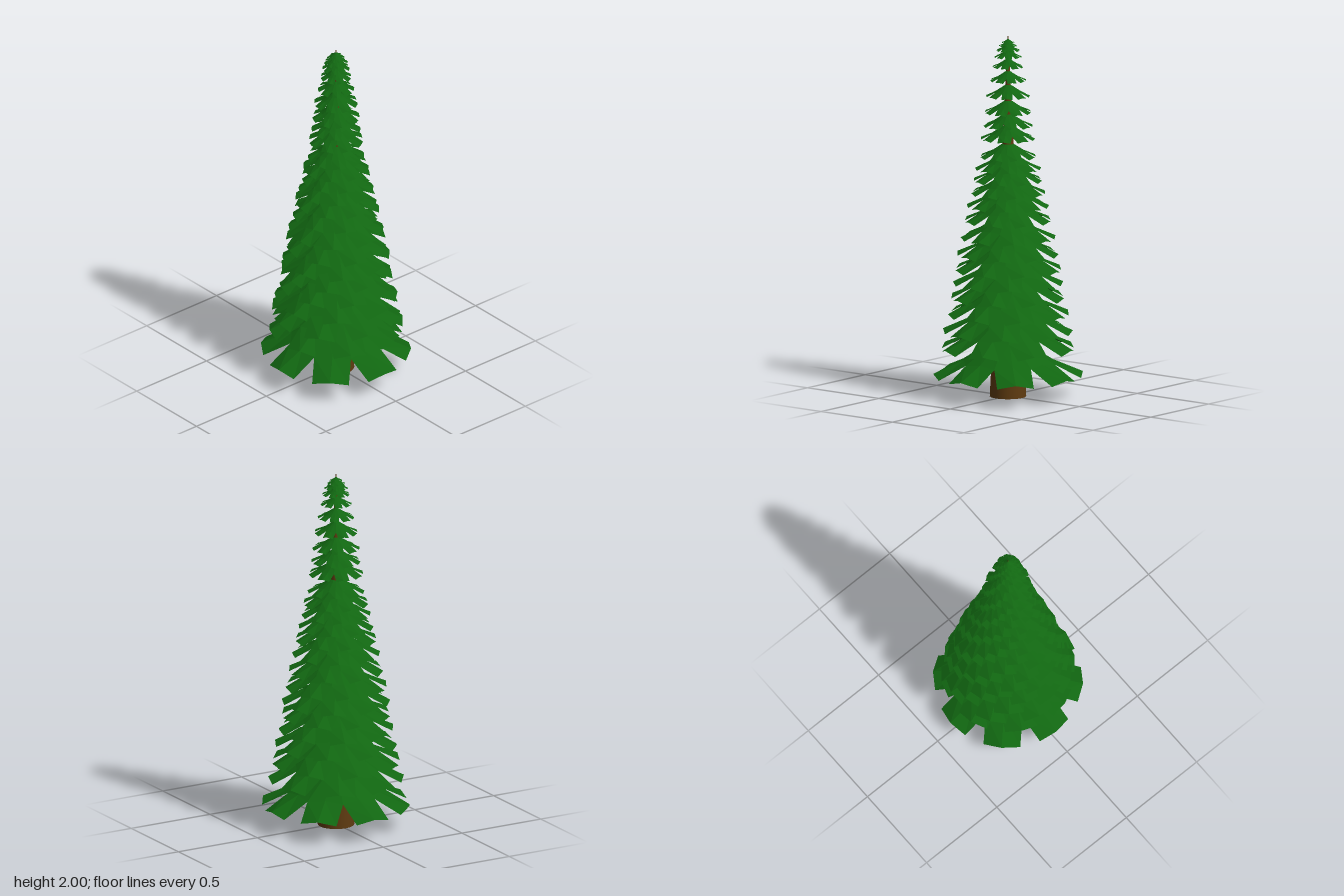
import * as THREE from 'three';

// [tip radius, tip height] of every ring of boughs, bottom to top
const TIERS = [
  [0.41, 0.13], [0.37, 0.275], [0.355, 0.37], [0.335, 0.465], [0.315, 0.555], [0.3, 0.635],
  [0.295, 0.71], [0.28, 0.795], [0.26, 0.885], [0.24, 0.98], [0.225, 1.06], [0.205, 1.13],
  [0.19, 1.2], [0.18, 1.265], [0.155, 1.33], [0.15, 1.43], [0.135, 1.5], [0.13, 1.575],
  [0.12, 1.665], [0.1, 1.75], [0.085, 1.825], [0.075, 1.88], [0.065, 1.915], [0.05, 1.94], [0.035, 1.958],
];
const BOUGHS = 8;

// One ring of unit radius: drooping, ridged boughs that merge into a cone near the trunk
function ringGeometry() {
  // distance out, height of ridge, half width, drop of the side edges, pull-back of the side edges
  const tan = Math.tan(Math.PI / BOUGHS);
  const rows = [
    [0.06, 0.53, 0.06 * tan, 0, 0],
    [0.3, 0.36, 0.3 * tan, 0.01, 0],
    [0.59, 0.175, 0.59 * tan, 0.03, 0],
    [1, 0, 0.245, 0.05, 0.05],
  ];
  const positions = [], index = [];
  for (let k = 0; k < BOUGHS; k++) {
    const a = (k / BOUGHS) * Math.PI * 2, c = Math.cos(a), s = Math.sin(a);
    const base = positions.length / 3;
    rows.forEach(([r, y, w, drop, back], i) => {
      for (let j = -1; j <= 1; j++) {
        const x = r - Math.abs(j) * back, z = j * w;
        positions.push(x * c - z * s, y - Math.abs(j) * drop, x * s + z * c);
      }
      if (i === 0) return;
      for (let j = 0; j < 2; j++) {
        const p = base + (i - 1) * 3 + j, q = p + 3;
        index.push(p, p + 1, q, p + 1, q + 1, q);
      }
    });
  }
  const g = new THREE.BufferGeometry();
  g.setAttribute('position', new THREE.Float32BufferAttribute(positions, 3));
  g.setIndex(index);
  g.computeVertexNormals();
  return g;
}

export function createModel() {
  const tree = new THREE.Group();
  tree.name = 'coniferTree';

  // Tapering trunk running the full height
  const bark = new THREE.MeshStandardMaterial({ color: 0x5e3a10 });
  const trunk = new THREE.Mesh(new THREE.CylinderGeometry(0.001, 0.1, 2, 24), bark);
  trunk.name = 'trunk';
  trunk.position.y = 1;
  tree.add(trunk);

  // Rings of boughs, each turned a little against the one below
  const needles = new THREE.MeshStandardMaterial({
    color: 0x116611, side: THREE.DoubleSide, flatShading: true,
  });
  const ring = ringGeometry();
  const foliage = new THREE.Group();
  foliage.name = 'foliage';
  TIERS.forEach(([radius, y], i) => {
    const tier = new THREE.Mesh(ring, needles);
    tier.name = `boughRing${i + 1}`;
    tier.scale.setScalar(radius);
    tier.position.y = y;
    tier.rotation.y = THREE.MathUtils.degToRad(i * 17);
    foliage.add(tier);
  });
  tree.add(foliage);
  return tree;
}
